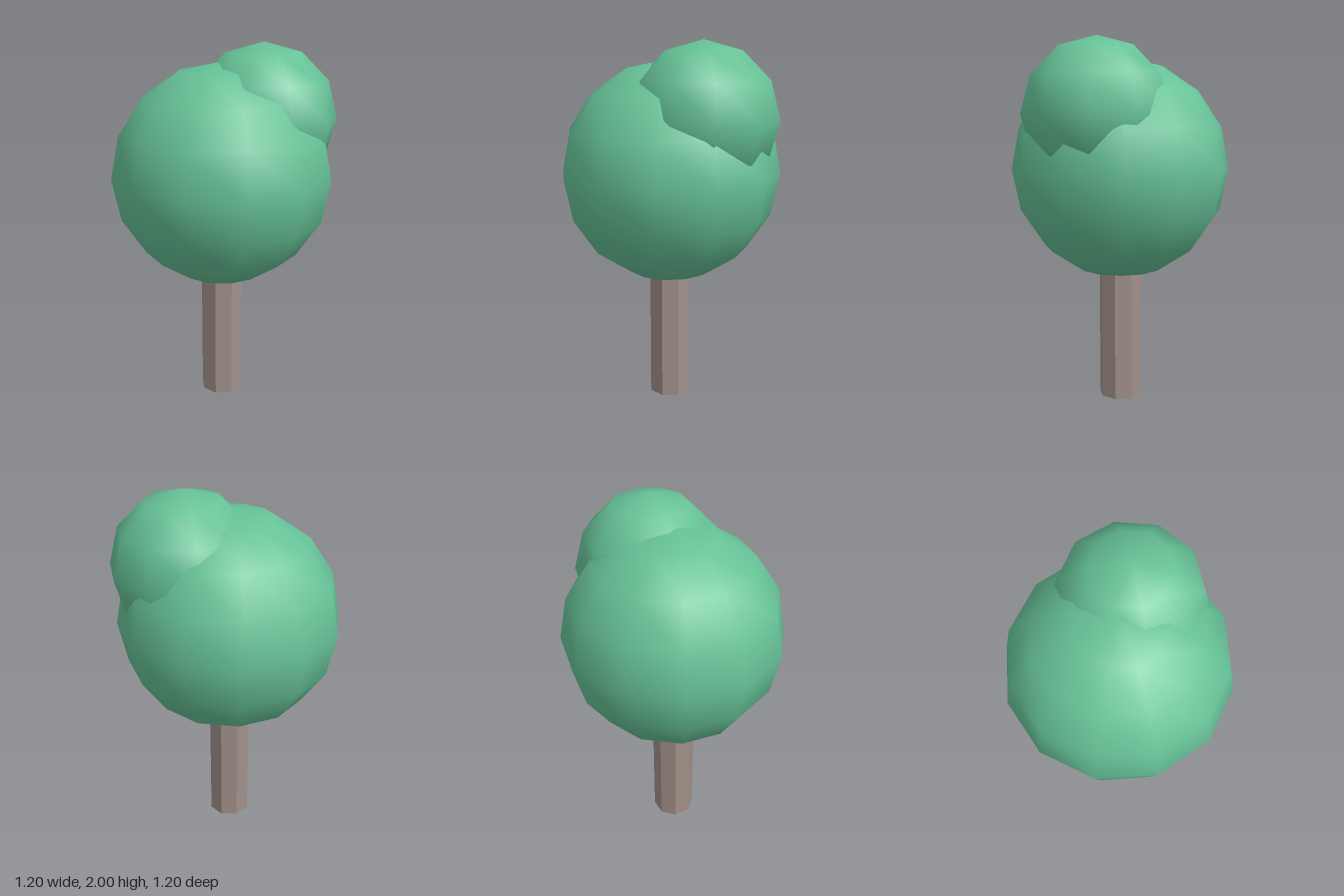
import * as THREE from 'three';

export function createModel() {
  const tree = new THREE.Group();
  tree.name = 'tree';

  const leaves = new THREE.MeshStandardMaterial({ color: 0x66c196 });
  const bark = new THREE.MeshStandardMaterial({ color: 0xa08f88, flatShading: true });

  const add = (name, geometry, material, x, y, z) => {
    const mesh = new THREE.Mesh(geometry, material);
    mesh.name = name;
    mesh.position.set(x, y, z);
    tree.add(mesh);
    return mesh;
  };

  // Eight-sided trunk, its top hidden inside the crown
  add('trunk', new THREE.CylinderGeometry(0.12, 0.12, 0.8, 8), bark, 0, 0.4, 0);

  // Large round crown
  add('crown', new THREE.SphereGeometry(0.6, 12, 8), leaves, 0, 1.3, 0);

  // Smaller clump on the upper left, toward the back
  const clump = add('upperClump', new THREE.SphereGeometry(0.4, 10, 6), leaves, 0.2, 1.6, -0.1);
  clump.rotation.y = Math.PI / 2;

  return tree;
}
